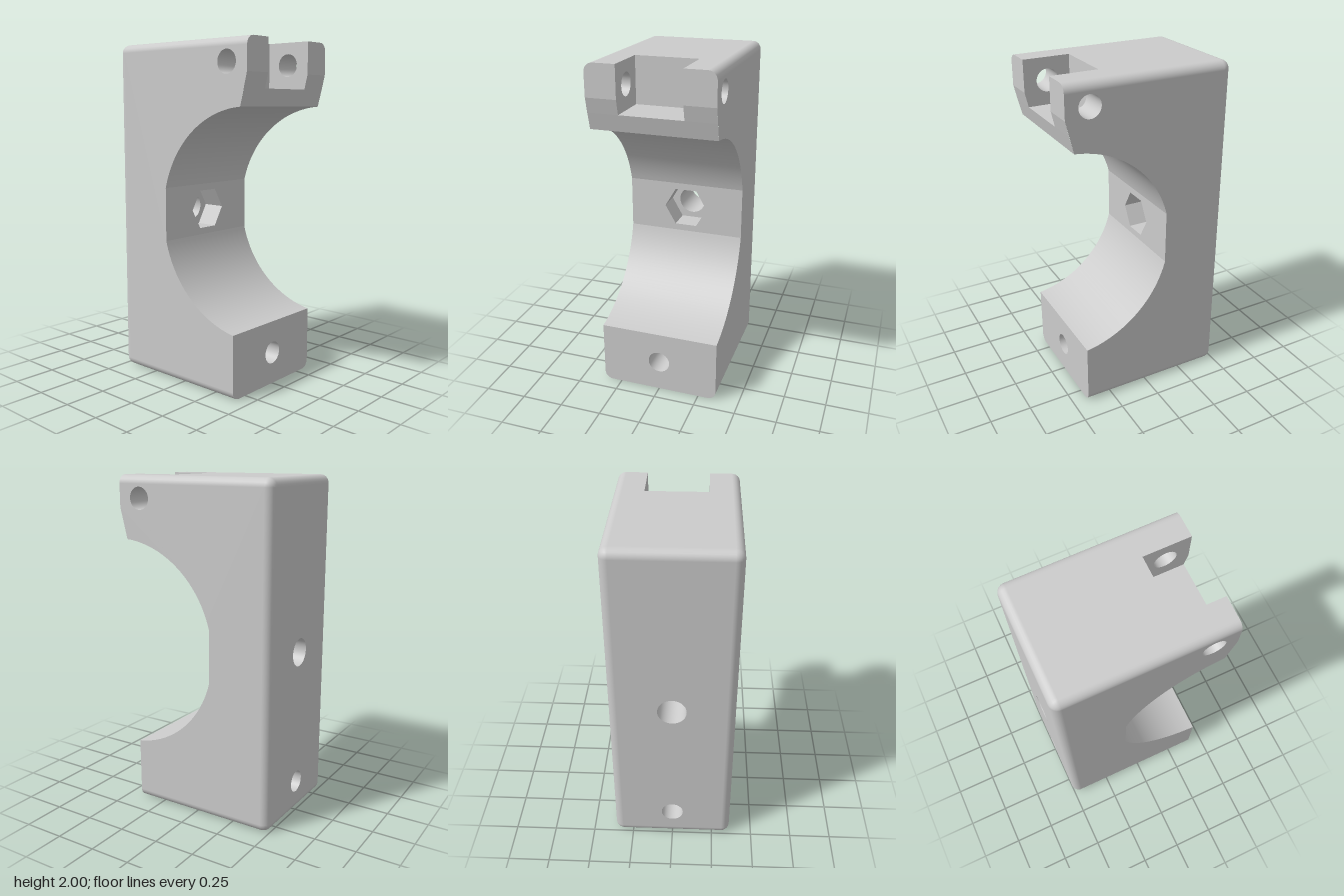
import * as THREE from 'three';
import { toCreasedNormals } from 'three/addons/utils/BufferGeometryUtils.js';

const R = 0.05;                        // edge rounding
const W = 0.36, WI = W - R;            // half width, and its flat part
const SLOT = 0.183;                    // half width of the hinge slot
const HALF = Math.PI / 2;
const BORE = { x: 0.5, y: 1.005, r: 0.63 };
const PIN = [0.36, 1.87, 0.065];
const BOLT = [0, 1.005, 0.083], NUT = [0, 1.005, 0.135], SCREW = [0, 0.19, 0.066];
const BACK = -0.5, SEAT = -0.25, FLAT = -0.11, FOOT = 0.41, TIP = 0.5;

function arc(cx, cy, r, a0, a1, n) {
  return Array.from({ length: n + 1 }, (_, i) => {
    const a = a0 + (a1 - a0) * i / n;
    return [cx + r * Math.cos(a), cy + r * Math.sin(a)];
  });
}

// Clockwise ring, so that a ribbon along it faces inwards
const ring = ([cx, cy, r], n = 40) => arc(cx, cy, r, 2 * Math.PI, 0, n);

const vectors = (pts) => pts.map(([x, y]) => new THREE.Vector2(x, y));

// Flat face in xy looking to +z, with holes
function face(pts, holes = []) {
  const shape = new THREE.Shape(vectors(pts));
  for (const h of holes) shape.holes.push(new THREE.Path(vectors(h.slice(0, -1))));
  return new THREE.ShapeGeometry(shape);
}

// Wall along a path in xy, from z0 to z1
function ribbon(pts, z0, z1) {
  const pos = [];
  for (let i = 0; i < pts.length - 1; i++) {
    const [a, b] = pts[i], [c, d] = pts[i + 1];
    pos.push(a, b, z0, c, d, z0, c, d, z1, a, b, z0, c, d, z1, a, b, z1);
  }
  const g = new THREE.BufferGeometry();
  g.setAttribute('position', new THREE.Float32BufferAttribute(pos, 3));
  return toCreasedNormals(g, Math.PI / 6);
}

function mirrorZ(geometry) {
  const g = geometry.index ? geometry.toNonIndexed() : geometry.clone();
  g.scale(1, 1, -1);
  const index = [];
  for (let i = 0; i < g.attributes.position.count; i += 3) index.push(i, i + 2, i + 1);
  g.setIndex(index);
  return g;
}

// Rounded edges around the top, back and bottom; the flat faces are left open
function roundedEdges() {
  const n = 6, cols = [[TIP, 2 - R, 0, 1]], rows = [];
  for (const [cy, a] of [[2 - R, HALF], [R, Math.PI]]) {
    for (const [nx, ny] of arc(0, 0, 1, a, a + HALF, n)) cols.push([-0.45, cy, nx, ny]);
  }
  cols.push([FOOT, R, 0, -1]);
  for (let i = 0; i <= n; i++) rows.push([-WI, (i / n - 1) * HALF]);
  for (let i = 0; i <= n; i++) rows.push([WI, i / n * HALF]);

  const pos = [], nor = [], index = [], m = cols.length;
  for (const [z, t] of rows) {
    const c = Math.cos(t), s = Math.sin(t);
    for (const [cx, cy, nx, ny] of cols) {
      pos.push(cx + R * c * nx, cy + R * c * ny, z + R * s);
      nor.push(nx * c, ny * c, s);
    }
  }
  for (let j = 0; j < rows.length - 1; j++) {
    for (let i = 0; i < m - 1; i++) {
      if (j === n && (i === 0 || i === n + 1 || i === m - 2)) continue;
      const a = j * m + i, b = a + 1, c = b + m, d = a + m;
      index.push(a, b, c, a, c, d);
    }
  }
  const g = new THREE.BufferGeometry();
  g.setAttribute('position', new THREE.Float32BufferAttribute(pos, 3));
  g.setAttribute('normal', new THREE.Float32BufferAttribute(nor, 3));
  g.setIndex(index);
  return g;
}

export function createModel() {
  const model = new THREE.Group();
  model.name = 'clampHalf';
  const material = new THREE.MeshStandardMaterial({ color: 0xcccccc });
  const add = (name, geometry) => {
    const mesh = new THREE.Mesh(geometry, material);
    mesh.name = name;
    model.add(mesh);
  };
  const addPair = (name, geometry) => {
    add(name + 'Front', geometry);
    add(name + 'Rear', mirrorZ(geometry));
  };
  const alongX = (geometry) => geometry.rotateY(HALF);
  const faceX = (x, pts, holes) => alongX(face(pts, holes)).translate(x, 0, 0);

  // Bore: two arcs joined by a flat strip
  const at = (x) => Math.acos((x - BORE.x) / BORE.r);
  const lower = arc(BORE.x, BORE.y, BORE.r, -at(FOOT), -at(FLAT), 32);
  const upper = arc(BORE.x, BORE.y, BORE.r, at(FLAT), at(0.455), 32);
  const yLow = lower[32][1], yHigh = upper[0][1], lip = upper[32];
  add('lowerBore', ribbon(lower, -W, W));
  add('upperBore', ribbon(upper, -W, W));
  add('boreFlat', faceX(FLAT, [[-W, yLow], [W, yLow], [W, yHigh], [-W, yHigh]], [ring(NUT, 6)]));

  // Outer skin
  add('roundedEdges', roundedEdges());
  addPair('side', face([
    [-0.45, R], [FOOT, R], ...lower, ...upper, [TIP, 1.815], [TIP, 2 - R], [-0.45, 2 - R],
  ], [ring(PIN)]).translate(0, 0, W));
  add('backFace', face([[-WI, R], [WI, R], [WI, 2 - R], [-WI, 2 - R]], [ring(BOLT), ring(SCREW)])
    .rotateY(-HALF).translate(BACK, 0, 0));
  add('topFace', face([
    [-0.45, -WI], [TIP, -WI], [TIP, -SLOT], [0.225, -SLOT],
    [0.225, SLOT], [TIP, SLOT], [TIP, WI], [-0.45, WI],
  ]).rotateX(-HALF).translate(0, 2, 0));
  add('bottomFace', face([[-0.45, -WI], [FOOT, -WI], [FOOT, WI], [-0.45, WI]]).rotateX(HALF));

  // Foot end with its screw hole
  const yFoot = lower[0][1];
  add('footEnd', faceX(FOOT, [
    ...arc(-WI, R, R, Math.PI, 1.5 * Math.PI, 6), ...arc(WI, R, R, -HALF, 0, 6),
    [W, yFoot], [-W, yFoot],
  ], [ring(SCREW)]));
  add('screwHole', alongX(ribbon(ring(SCREW), BACK, FOOT)));

  // Bolt hole opening into a hexagonal nut pocket
  add('boltHole', alongX(ribbon(ring(BOLT), BACK, SEAT)));
  add('nutPocket', alongX(ribbon(ring(NUT, 6), SEAT, FLAT)));
  add('nutSeat', faceX(SEAT, ring(NUT, 6).slice(0, -1), [ring(BOLT)]));

  // Hinge slot between two ears, with a pin hole through both
  const notch = [0.48, 1.73];
  add('hingeSlot', ribbon([notch, [0.225, 1.73], [0.225, 2]], -SLOT, SLOT));
  add('hingeChamfer', ribbon([lip, notch], -W, W));
  addPair('earChamfer', ribbon([notch, [TIP, 1.815]], SLOT, W));
  addPair('earEnd', faceX(TIP, [
    [SLOT, 1.815], [W, 1.815], ...arc(WI, 2 - R, R, 0, HALF, 6), [SLOT, 2],
  ]));
  addPair('earInside', face([
    [0.225, 1.73], notch, [TIP, 1.815], [TIP, 2], [0.225, 2],
  ], [ring(PIN)]).translate(0, 0, -SLOT));
  addPair('pinHole', ribbon(ring(PIN), SLOT, W));

  return model;
}
